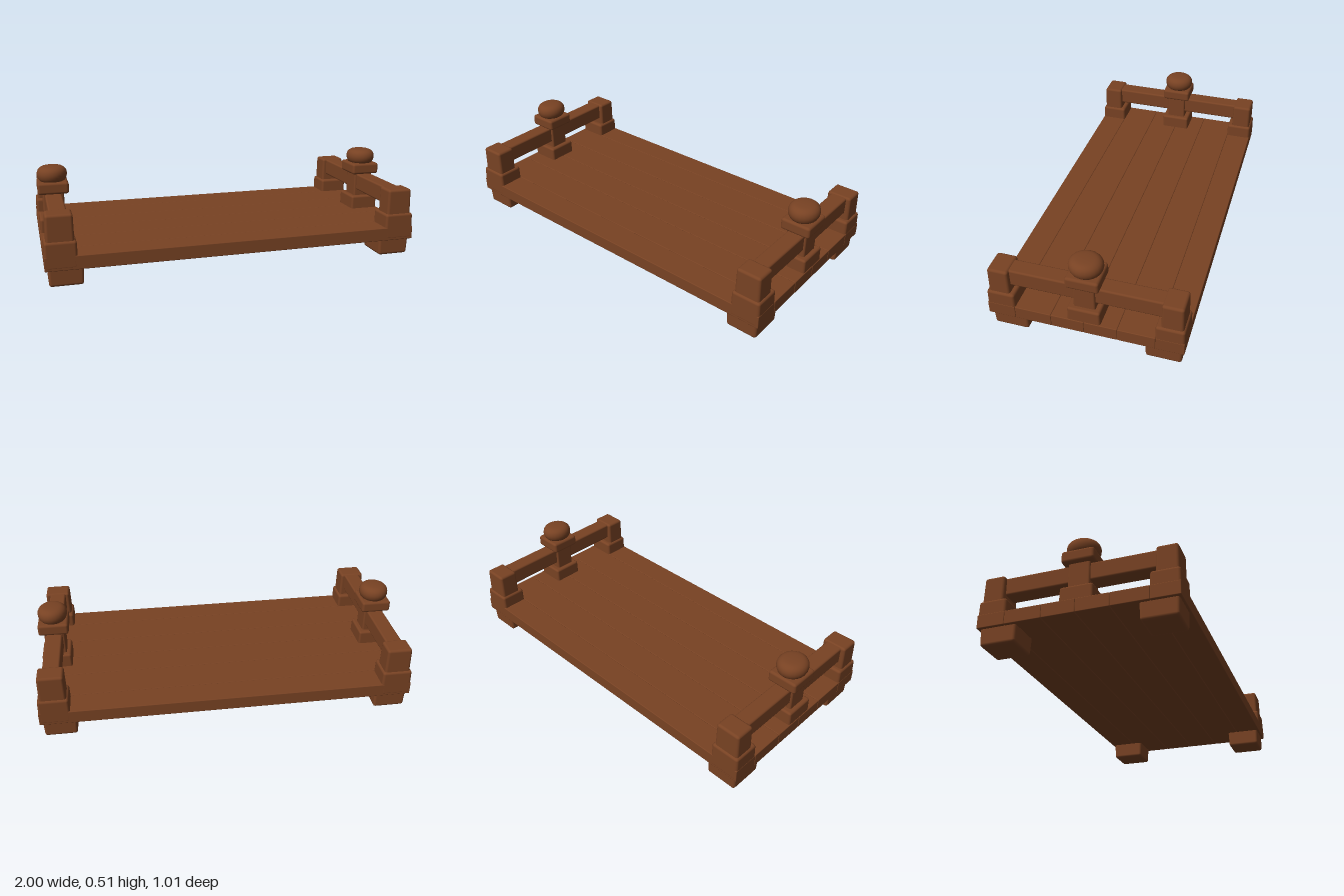
import * as THREE from 'three';
import { RoundedBoxGeometry } from 'three/addons/geometries/RoundedBoxGeometry.js';

const wood = new THREE.MeshStandardMaterial({ color: 0x784223 });
wood.name = 'brown wood';

// Soft-edged block between two corners; taper narrows it towards the top (or the foot if negative)
function block(name, [x0, x1], [y0, y1], [z0, z1], radius = 0.012, taper = 0) {
  const w = x1 - x0, h = y1 - y0, d = z1 - z0;
  const geometry = new RoundedBoxGeometry(w, h, d, 2, radius);
  const p = geometry.attributes.position;
  for (let i = 0; i < p.count; i++) {
    const t = p.getY(i) / h + 0.5;
    const s = 1 - Math.abs(taper) * (taper > 0 ? t : 1 - t);
    p.setX(i, p.getX(i) * s);
    p.setZ(i, p.getZ(i) * s);
  }
  const mesh = new THREE.Mesh(geometry, wood);
  mesh.name = name;
  mesh.position.set((x0 + x1) / 2, (y0 + y1) / 2, (z0 + z1) / 2);
  return mesh;
}

// Squat round knob with a flattened crown
function knob(x) {
  const profile = new THREE.SplineCurve([
    [0.062, 0.425], [0.078, 0.44], [0.086, 0.465], [0.08, 0.49], [0.06, 0.506], [0.03, 0.511], [0, 0.512],
  ].map(([r, y]) => new THREE.Vector2(r, y))).getPoints(18);
  profile[profile.length - 1].x = 0;
  const mesh = new THREE.Mesh(new THREE.LatheGeometry(profile, 24), wood);
  mesh.name = 'knob';
  mesh.position.x = x;
  mesh.scale.x = 0.93;
  return mesh;
}

export function createModel() {
  const model = new THREE.Group();
  model.name = 'lowWoodenBed';

  // Deck of long boards
  const deck = new THREE.Group();
  deck.name = 'deck';
  const seams = [-0.504, -0.36, -0.17, 0, 0.17, 0.36, 0.504];
  for (let i = 0; i < seams.length - 1; i++) {
    deck.add(block('board', [-1, 1], [0.088, 0.16], [seams[i], seams[i + 1]], 0.004));
  }
  model.add(deck);

  // Matching railings at both ends
  for (const side of [-1, 1]) {
    const end = new THREE.Group();
    end.name = side > 0 ? 'leftRailing' : 'rightRailing';
    const span = (a, b) => (side > 0 ? [a, b] : [-b, -a]);

    for (const s of [-1, 1]) {
      const depth = (a, b) => (s > 0 ? [a, b] : [-b, -a]);
      end.add(
        block('foot', span(0.808, 0.985), [0, 0.1], depth(0.303, 0.492), 0.014, -0.04),
        block('cornerBase', span(0.836, 1), [0.092, 0.235], depth(0.356, 0.505), 0.014, 0.03),
        block('cornerPost', span(0.848, 0.988), [0.2, 0.37], depth(0.382, 0.494), 0.014, 0.04),
      );
    }

    // Top rail and the middle post carrying the knob
    end.add(
      block('rail', span(0.872, 0.962), [0.27, 0.365], [-0.42, 0.42], 0.01),
      block('middleBase', span(0.835, 0.997), [0.14, 0.235], [-0.085, 0.085], 0.012, 0.02),
      block('middlePost', span(0.86, 0.972), [0.2, 0.39], [-0.055, 0.057], 0.01),
      block('cap', span(0.834, 0.998), [0.368, 0.432], [-0.084, 0.084], 0.014),
      knob(side * 0.916),
    );
    model.add(end);
  }
  return model;
}
